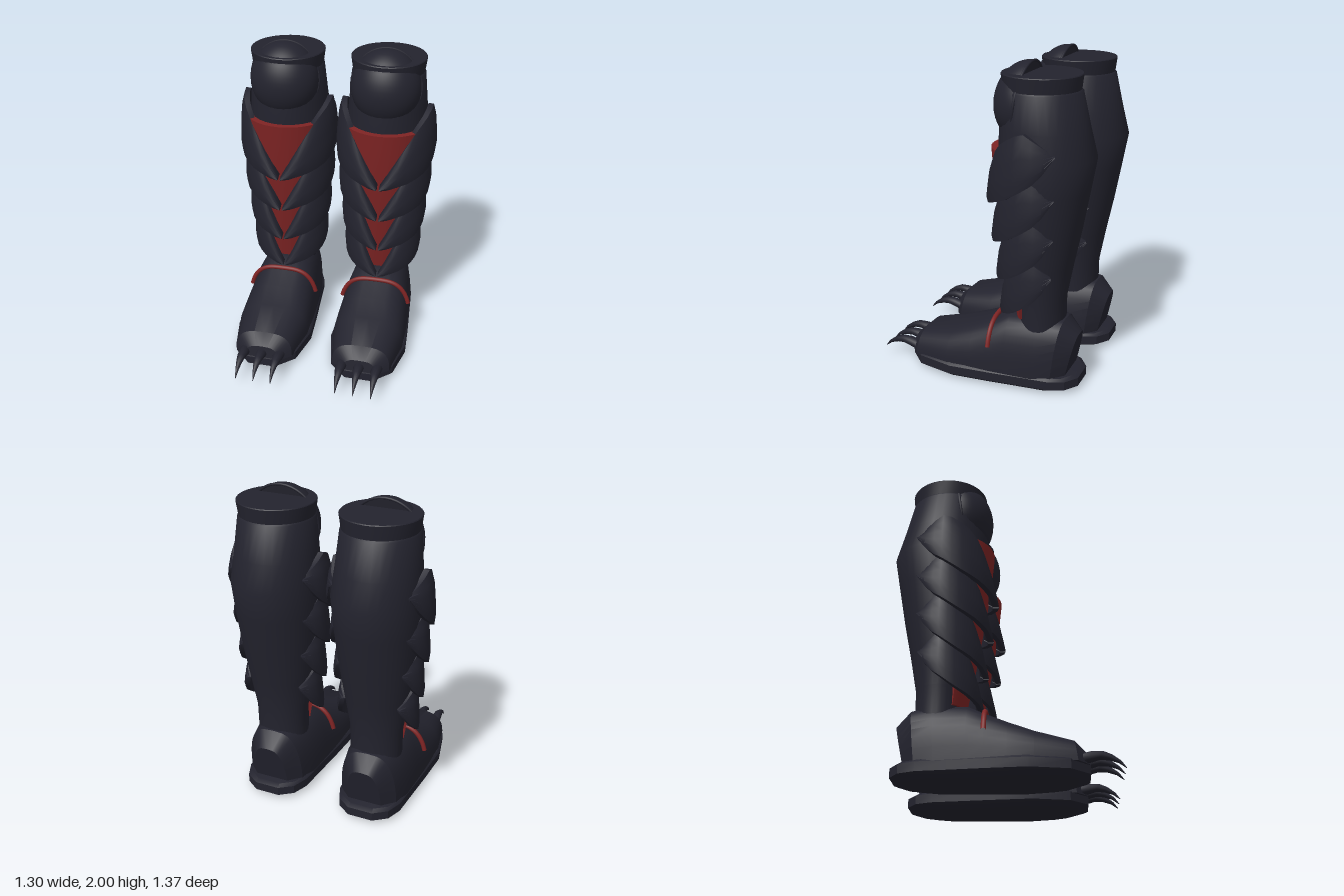
import * as THREE from 'three';
import { toCreasedNormals } from 'three/addons/utils/BufferGeometryUtils.js';

const V = (x, y, z) => new THREE.Vector3(x, y, z);
const range = (n, f) => Array.from({ length: n }, (_, i) => f(i));

// Closed solid through a list of closed rings, turned outward by its signed volume
function loft(rings, crease = 0.6) {
  const n = rings[0].length, m = rings.length;
  const pts = rings.flat();
  const tris = [];
  for (let i = 0; i < m - 1; i++)
    for (let j = 0; j < n; j++) {
      const a = i * n + j, b = i * n + (j + 1) % n;
      tris.push([a, b, b + n], [a, b + n, a + n]);
    }
  [0, m - 1].forEach((r) => {
    const c = pts.length;
    pts.push(rings[r].reduce((s, p) => s.add(p), V(0, 0, 0)).divideScalar(n));
    for (let j = 0; j < n; j++) {
      const a = r * n + j, b = r * n + (j + 1) % n;
      tris.push(r === 0 ? [c, b, a] : [c, a, b]);
    }
  });
  let vol = 0;
  const cross = V(0, 0, 0);
  for (const [a, b, c] of tris) vol += pts[a].dot(cross.crossVectors(pts[b], pts[c]));
  const geo = new THREE.BufferGeometry().setFromPoints(pts);
  geo.setIndex(tris.flatMap(([a, b, c]) => (vol < 0 ? [a, c, b] : [a, b, c])));
  return toCreasedNormals(geo, crease);
}

// Shaft rings: y, half width, back z, front z
const SHAFT = [
  [0.36, 0.165, -0.52, -0.23], [0.56, 0.168, -0.52, -0.23], [0.78, 0.205, -0.56, -0.18],
  [1.0, 0.238, -0.605, -0.135], [1.25, 0.26, -0.65, -0.11], [1.45, 0.268, -0.685, -0.1],
  [1.62, 0.25, -0.64, -0.105], [1.83, 0.232, -0.59, -0.115], [1.84, 0.226, -0.58, -0.125],
  [1.925, 0.238, -0.59, -0.115], [1.93, 0.234, -0.586, -0.119],
];
const shaftGeo = () => loft(SHAFT.map(([y, rx, b, f]) => range(32, (i) => {
  const t = i / 32 * Math.PI * 2;
  return V(rx * Math.sin(t), y, (b + f) / 2 + (f - b) / 2 * Math.cos(t));
})));

// Red panel wrapping the front of the shin: y, half width, centre z, depth
const PANEL = [
  [0.44, 0.175, -0.36, 0.14], [0.7, 0.215, -0.36, 0.19], [1.0, 0.262, -0.36, 0.24],
  [1.25, 0.285, -0.355, 0.272], [1.5, 0.29, -0.35, 0.29],
];
const panelGeo = () => loft(PANEL.map(([y, rx, zc, rz]) => range(26, (i) => {
  const outer = i < 13;
  const t = (outer ? i : 25 - i) / 6 - 1, k = outer ? 1 : 0.78;
  return V(k * rx * Math.sin(t), y, zc + k * rz * Math.cos(t));
})));

// Feather-shaped plate: angle around the leg, lower edge, upper edge, radius factor
const FEATHER = [
  [0.03, 0, 0.02, 1], [0.2, 0.01, 0.1, 1], [0.4, 0.03, 0.2, 1], [0.6, 0.045, 0.295, 1],
  [0.8, 0.065, 0.37, 1], [1.0, 0.085, 0.42, 1], [1.2, 0.11, 0.455, 1], [1.4, 0.145, 0.485, 1],
  [1.58, 0.18, 0.5, 1], [1.75, 0.215, 0.468, 0.985], [1.95, 0.275, 0.43, 0.965], [2.2, 0.37, 0.385, 0.93],
];
// Plate rows: tip y, height scale, half width, centre z, depth
const ROWS = [
  [1.13, 1, 0.328, -0.35, 0.32], [0.89, 0.95, 0.308, -0.355, 0.295],
  [0.65, 0.93, 0.285, -0.36, 0.272], [0.425, 0.88, 0.262, -0.36, 0.25],
];
function plateGeo([y0, s, rx, zc, rz], side) {
  return loft(FEATHER.map(([t, lo, hi, f]) => range(12, (i) => {
    const outer = i < 6, v = (outer ? i : 11 - i) / 5;
    const bevel = v === 0 || v === 1 ? 0.025 : 0;
    const k = f * (1 - 0.08 * v * v - (outer ? bevel : 0.13));
    return V(side * k * rx * Math.sin(t), y0 + s * (lo + (hi - lo) * v), zc + k * rz * Math.cos(t));
  })), 0.7);
}

// Foot arch at one station: top z, base z, half width, top height
const FOOT = [
  [0.47, 0.485, 0.11, 0.165], [0.4, 0.42, 0.19, 0.23], [0.18, 0.18, 0.238, 0.287],
  [0.03, 0.03, 0.237, 0.345], [-0.1, -0.1, 0.232, 0.402], [-0.2, -0.2, 0.225, 0.45],
  [-0.4, -0.38, 0.212, 0.455], [-0.53, -0.49, 0.185, 0.435], [-0.62, -0.56, 0.11, 0.35],
];
function archPoint([zt, zb, w, h], t, grow = 0) {
  const c = Math.cos(t), s = Math.max(0, Math.sin(t)), q = Math.pow(s, 0.8);
  return V(Math.sign(c) * Math.pow(Math.abs(c), 0.6) * (w + grow), 0.08 + (h + grow - 0.08) * q, zb + (zt - zb) * q);
}
const footGeo = () => loft(FOOT.map((st) => range(19, (i) => archPoint(st, i / 18 * Math.PI))), 0.5);

// Thin strap over the instep
function strapGeo() {
  const path = range(15, (i) => archPoint(FOOT[4], 0.46 + (Math.PI - 0.92) * i / 14, 0.012));
  return new THREE.TubeGeometry(new THREE.CatmullRomCurve3(path), 32, 0.015, 8);
}

// Sole outline (z, half width), stacked in layers (y, scale)
const SOLE = [
  [0.49, 0.09], [0.38, 0.205], [0.15, 0.255], [-0.1, 0.238], [-0.3, 0.22],
  [-0.48, 0.205], [-0.58, 0.165], [-0.64, 0.08],
];
function soleGeo() {
  const half = SOLE.map(([z, w]) => [w, z]);
  const outline = [...half, ...half.map(([w, z]) => [-w, z]).reverse()];
  const layers = [[0, 0.78], [0.018, 0.95], [0.03, 1], [0.085, 1], [0.1, 0.95]];
  return loft(layers.map(([y, k]) => outline.map(([x, z]) => V(x * k, y, -0.075 + (z + 0.075) * k))), 0.5);
}

// Curved tapering claw: y, z, radius
const CLAW = [
  [0.1, 0.42, 0.036], [0.12, 0.49, 0.034], [0.128, 0.55, 0.027], [0.116, 0.6, 0.019],
  [0.09, 0.65, 0.01], [0.055, 0.685, 0.002],
];
const clawGeo = () => loft(CLAW.map(([y, z, r], k) => range(10, (i) => {
  const t = i / 10 * Math.PI * 2, lean = 0.2 * k;
  return V(r * Math.cos(t), y + r * Math.sin(t) * Math.cos(lean), z + r * Math.sin(t) * Math.sin(lean));
})), 1);

export function createModel() {
  const dark = new THREE.MeshStandardMaterial({ color: 0x23232e });
  dark.name = 'darkLeather';
  const red = new THREE.MeshStandardMaterial({ color: 0x7f2424 });
  red.name = 'redCloth';
  const model = new THREE.Group();
  model.name = 'armouredBoots';

  for (const side of [1, -1]) {
    const boot = new THREE.Group();
    boot.name = side > 0 ? 'leftBoot' : 'rightBoot';
    boot.position.x = side * 0.325;
    const add = (name, geo, mat, parent = boot) => {
      const mesh = new THREE.Mesh(geo, mat);
      mesh.name = name;
      parent.add(mesh);
      return mesh;
    };
    add('shaft', shaftGeo(), dark);
    add('shinPanel', panelGeo(), red);
    add('foot', footGeo(), dark);
    add('sole', soleGeo(), dark);
    add('instepStrap', strapGeo(), red);

    // Domed knee guard leaning back, with its rim and closed back
    const knee = new THREE.Group();
    knee.name = 'kneeGuard';
    knee.position.set(0, 1.755, -0.262);
    knee.rotation.x = -0.14;
    boot.add(knee);
    add('kneeDome', new THREE.SphereGeometry(1, 32, 20, 0, Math.PI), dark, knee).scale.set(0.222, 0.24, 0.19);
    add('kneeRim', new THREE.TorusGeometry(1, 0.035, 8, 40), dark, knee).scale.set(0.222, 0.238, 0.25);
    const back = add('kneeBack', new THREE.CircleGeometry(1, 32), dark, knee);
    back.scale.set(0.222, 0.24, 1);
    back.rotation.y = Math.PI;

    // Four rows of overlapping plates on both sides
    for (const s of [1, -1])
      ROWS.forEach((row, i) => add(`${s > 0 ? 'left' : 'right'}Plate${i + 1}`, plateGeo(row, s), dark));

    // Three toe claws
    [-0.115, 0, 0.115].forEach((x, i) => {
      add(`claw${i + 1}`, clawGeo(), dark).position.x = x;
    });
    model.add(boot);
  }
  return model;
}
